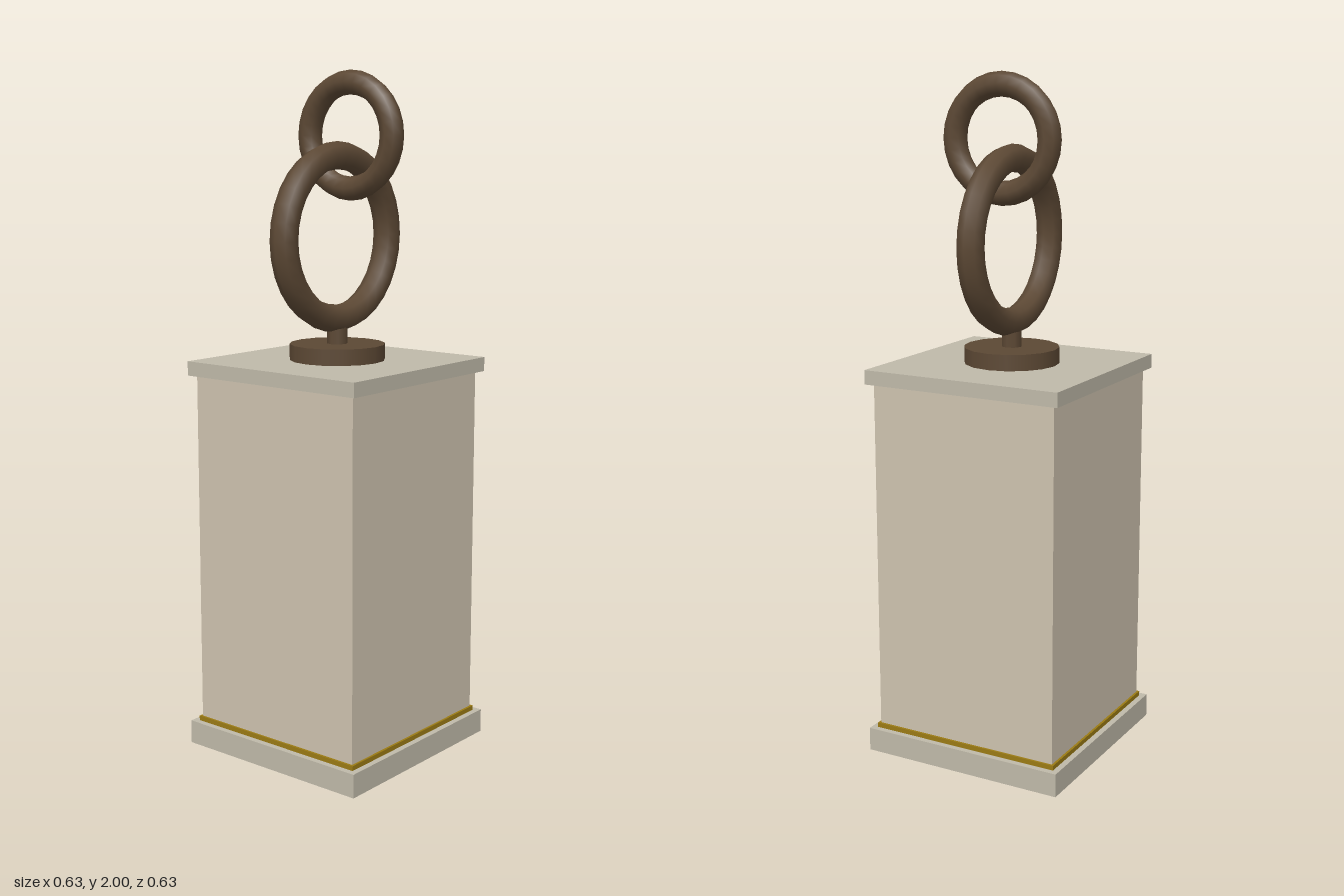
import * as THREE from 'three';

const material = (color) => new THREE.MeshStandardMaterial({ color });

export function createModel() {
  const model = new THREE.Group();
  const stone = material(0xbfb9a9);
  const plaster = material(0xcdc2ae);
  const gold = material(0x9a7a14);
  const bronze = material(0x5c4834);

  const add = (name, geometry, mat, x, y) => {
    const mesh = new THREE.Mesh(geometry, mat);
    mesh.name = name;
    mesh.position.set(x, y, 0);
    model.add(mesh);
    return mesh;
  };

  // Square slab between two heights
  const slab = (name, width, bottom, top, mat) =>
    add(name, new THREE.BoxGeometry(width, top - bottom, width), mat, 0, (bottom + top) / 2);

  // Upright round part between two heights
  const post = (name, radius, bottom, top, sides) =>
    add(name, new THREE.CylinderGeometry(radius, radius, top - bottom, sides), bronze, 0, (bottom + top) / 2);

  // Square block with plinth, trim line and cap
  slab('base', 0.63, 0, 0.07, stone);
  slab('trim', 0.594, 0.07, 0.084, gold);
  slab('body', 0.58, 0.07, 1.128, plaster);
  slab('cap', 0.618, 1.128, 1.17, stone);

  // Ring mount
  post('mountDisc', 0.14, 1.17, 1.217, 16);
  post('mountStem', 0.03, 1.217, 1.29, 8);

  // Two interlinked rings
  add('lowerRing', new THREE.TorusGeometry(0.234, 0.04, 8, 32), bronze, 0, 1.525);
  const upper = add('upperRing', new THREE.TorusGeometry(0.151, 0.035, 8, 28), bronze, 0.058, 1.814);
  upper.rotation.y = Math.PI / 2;

  return model;
}
